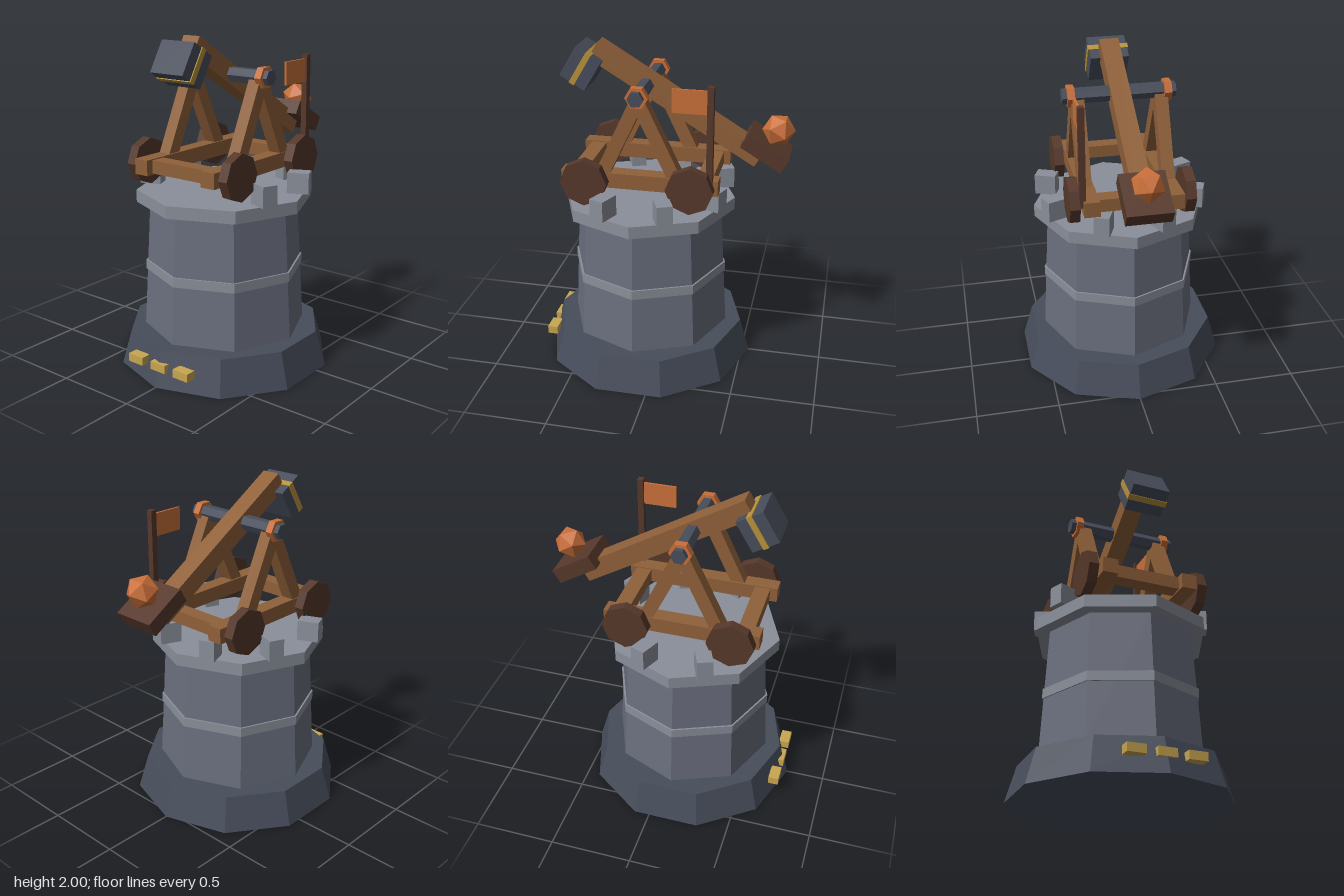
import * as THREE from 'three';

const mat = (name, color) => {
  const m = new THREE.MeshStandardMaterial({ color, flatShading: true });
  m.name = name;
  return m;
};

export function createModel() {
  const slate = mat('dark slate', 0x474d5b);
  const stone = mat('stone', 0x6a6f7e);
  const paleStone = mat('pale stone', 0x8a8f9a);
  const wood = mat('wood', 0x8f6039);
  const darkWood = mat('dark wood', 0x56382b);
  const orange = mat('orange', 0xc96f39);
  const gold = mat('gold', 0xc8a650);
  const brass = mat('brass', 0xb8923a);

  const model = new THREE.Group();
  const add = (parent, name, geo, material, x, y, z) => {
    const mesh = new THREE.Mesh(geo, material);
    mesh.name = name;
    mesh.position.set(x, y, z);
    parent.add(mesh);
    return mesh;
  };
  const box = (parent, name, material, size, pos) =>
    add(parent, name, new THREE.BoxGeometry(...size), material, ...pos);

  const cz = 0.108; // tower axis and arm pivot

  // Tower: stacked polygonal drums
  const tower = new THREE.Group();
  tower.name = 'tower';
  model.add(tower);
  const drum = (name, material, rTop, rBottom, y0, y1, sides) =>
    add(tower, name, new THREE.CylinderGeometry(rTop, rBottom, y1 - y0, sides), material, 0, (y0 + y1) / 2, cz);
  drum('foundation', slate, 0.592, 0.654, 0, 0.215, 10);
  drum('towerBody', stone, 0.45, 0.496, 0.215, 1.0, 8);
  drum('towerBand', paleStone, 0.483, 0.483, 0.572, 0.63, 8);
  drum('platform', paleStone, 0.531, 0.531, 1.0, 1.075, 8);

  // Battlements on every platform edge except the two at the front
  for (let i = 1; i < 7; i++) {
    const a = (i + 0.5) * Math.PI / 4;
    const merlon = box(tower, 'merlon', paleStone, [0.093, 0.125, 0.13],
      [Math.sin(a) * 0.46, 1.1375, cz + Math.cos(a) * 0.46]);
    merlon.rotation.y = a;
  }

  // Gold blocks on the foundation
  for (const x of [-0.173, 0, 0.173]) box(tower, 'goldBlock', gold, [0.11, 0.05, 0.064], [x, 0.12, 0.708]);

  // Wheeled frame
  const frame = new THREE.Group();
  frame.name = 'frame';
  model.add(frame);
  for (const z of [-0.273, 0.478]) box(frame, 'crossBeam', wood, [0.42, 0.078, 0.094], [0, 1.249, z]);
  for (const s of [-1, 1]) {
    box(frame, 'sideRail', wood, [0.094, 0.092, 0.93], [s * 0.247, 1.248, 0.105]);

    // Pair of leaning legs
    for (const d of [-1, 1]) {
      const dz = d * 0.233, dy = 0.49;
      const leg = box(frame, 'leg', wood, [0.078, Math.hypot(dz, dy), 0.08], [s * 0.25, 1.495, cz + dz / 2]);
      leg.rotation.x = -Math.atan2(dz, dy);
    }

    // Wheels
    for (const z of [-0.206, 0.416]) {
      const wheel = add(frame, 'wheel', new THREE.CylinderGeometry(0.14, 0.14, 0.06, 8), darkWood, s * 0.341, 1.25, z);
      wheel.rotation.z = Math.PI / 2;
    }

    // Axle collar
    const collar = add(frame, 'axleCollar', new THREE.CylinderGeometry(0.067, 0.067, 0.044, 6), orange, s * 0.289, 1.764, cz);
    collar.rotation.z = Math.PI / 2;
  }
  const axle = add(frame, 'axle', new THREE.CylinderGeometry(0.047, 0.047, 0.68, 6), slate, 0, 1.764, cz);
  axle.rotation.z = Math.PI / 2;

  // Flag
  box(frame, 'flagPole', darkWood, [0.037, 0.607, 0.037], [0.296, 1.553, -0.312]);
  box(frame, 'flag', orange, [0.014, 0.138, 0.202], [0.297, 1.763, -0.194]);

  // Throwing arm, built level around the pivot and then tilted
  const arm = new THREE.Group();
  arm.name = 'throwingArm';
  arm.position.set(0, 1.764, cz);
  arm.rotation.x = -0.541;
  model.add(arm);
  box(arm, 'armBeam', wood, [0.116, 0.116, 1.155], [0, 0, -0.208]);
  box(arm, 'counterweight', slate, [0.235, 0.2, 0.172], [0, -0.118, 0.372]);
  box(arm, 'counterweightBand', brass, [0.248, 0.21, 0.035], [0, -0.118, 0.372]);
  box(arm, 'basket', darkWood, [0.262, 0.092, 0.275], [0, 0.071, -0.783]);
  add(arm, 'boulder', new THREE.IcosahedronGeometry(0.097, 0), orange, 0, 0.196, -0.784);

  return model;
}
